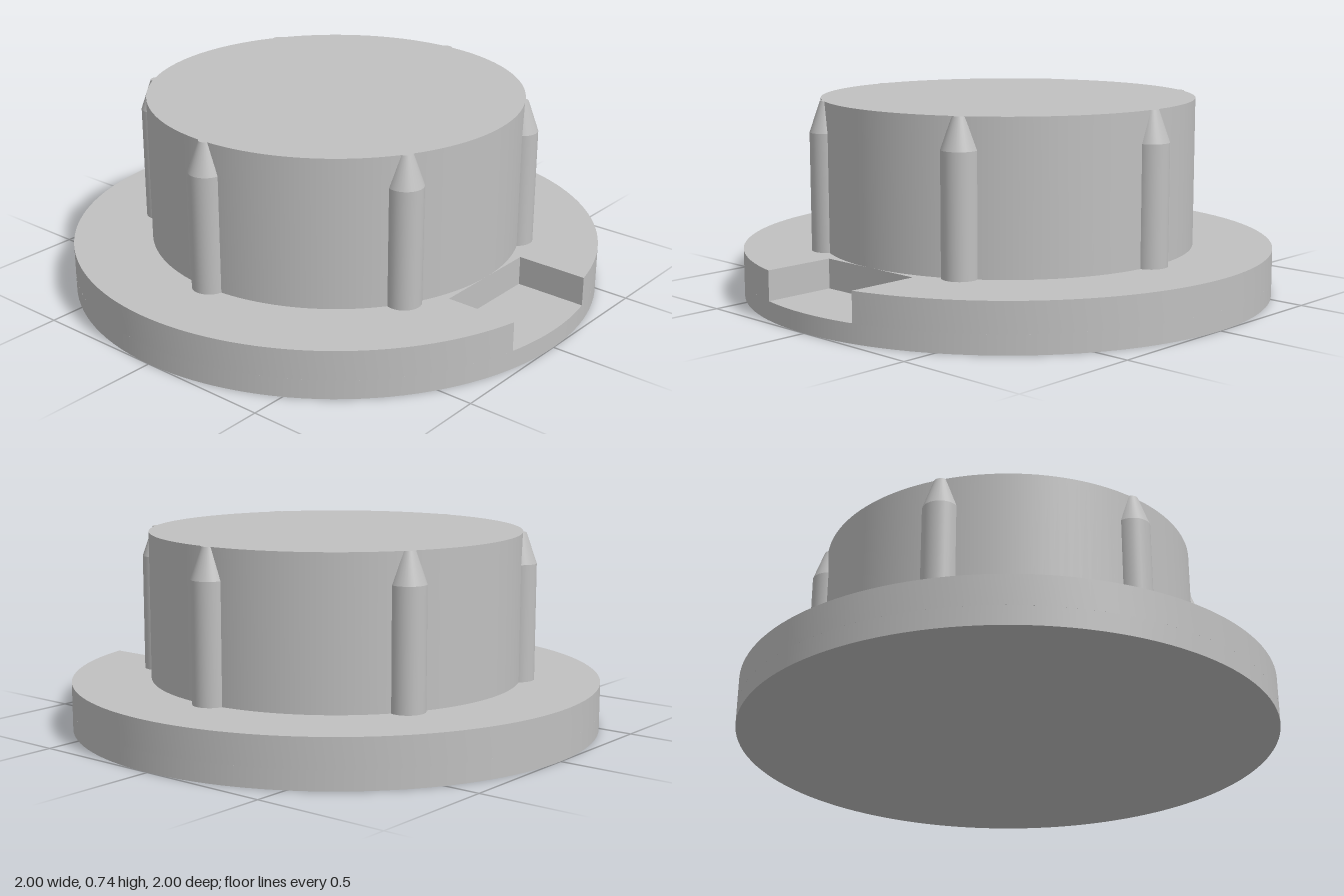
import * as THREE from 'three';
import { toCreasedNormals } from 'three/addons/utils/BufferGeometryUtils.js';

const FLANGE_TOP = 0.18, NOTCH_FLOOR = 0.07, TOP = 0.735;
const PLUG_R = 0.703, NOTCH_HALF = 0.222;

export function createModel() {
  const model = new THREE.Group();
  model.name = 'plugCap';
  const grey = new THREE.MeshStandardMaterial({ color: 0xc0c0c0 });
  grey.name = 'plain grey';

  const add = (name, geometry, parent = model) => {
    const mesh = new THREE.Mesh(geometry, grey);
    mesh.name = name;
    parent.add(mesh);
    return mesh;
  };
  // Cylinder or cone standing between two heights
  const column = (rTop, rBottom, y0, y1, sides) =>
    new THREE.CylinderGeometry(rTop, rBottom, y1 - y0, sides).translate(0, (y0 + y1) / 2, 0);

  // Flange: full disc up to the notch floor, then a disc with the notch cut out
  add('flangeBase', column(1, 1, 0, NOTCH_FLOOR, 128).rotateY(Math.PI / 2));
  const a = Math.asin(NOTCH_HALF);
  const outline = new THREE.Shape();
  outline.absarc(0, 0, 1, a, Math.PI * 2 - a, false);
  outline.lineTo(PLUG_R, -NOTCH_HALF);
  outline.lineTo(PLUG_R, NOTCH_HALF);
  outline.closePath();
  const rim = new THREE.ExtrudeGeometry(outline, {
    depth: FLANGE_TOP - NOTCH_FLOOR, bevelEnabled: false, curveSegments: 64,
  }).rotateX(-Math.PI / 2).translate(0, NOTCH_FLOOR, 0);
  add('notchedFlange', toCreasedNormals(rim, 0.5));

  // Raised plug
  add('plug', column(PLUG_R, PLUG_R, FLANGE_TOP, TOP, 128));

  // Six grip ribs with tapered tops
  for (let i = 0; i < 6; i++) {
    const angle = Math.PI / 6 + i * Math.PI / 3;
    const rib = new THREE.Group();
    rib.name = 'rib';
    rib.position.set(0.69 * Math.cos(angle), 0, 0.69 * Math.sin(angle));
    add('ribShaft', column(0.065, 0.065, FLANGE_TOP, 0.62, 32), rib);
    add('ribTip', column(0.025, 0.065, 0.62, TOP, 32), rib);
    model.add(rib);
  }
  return model;
}
